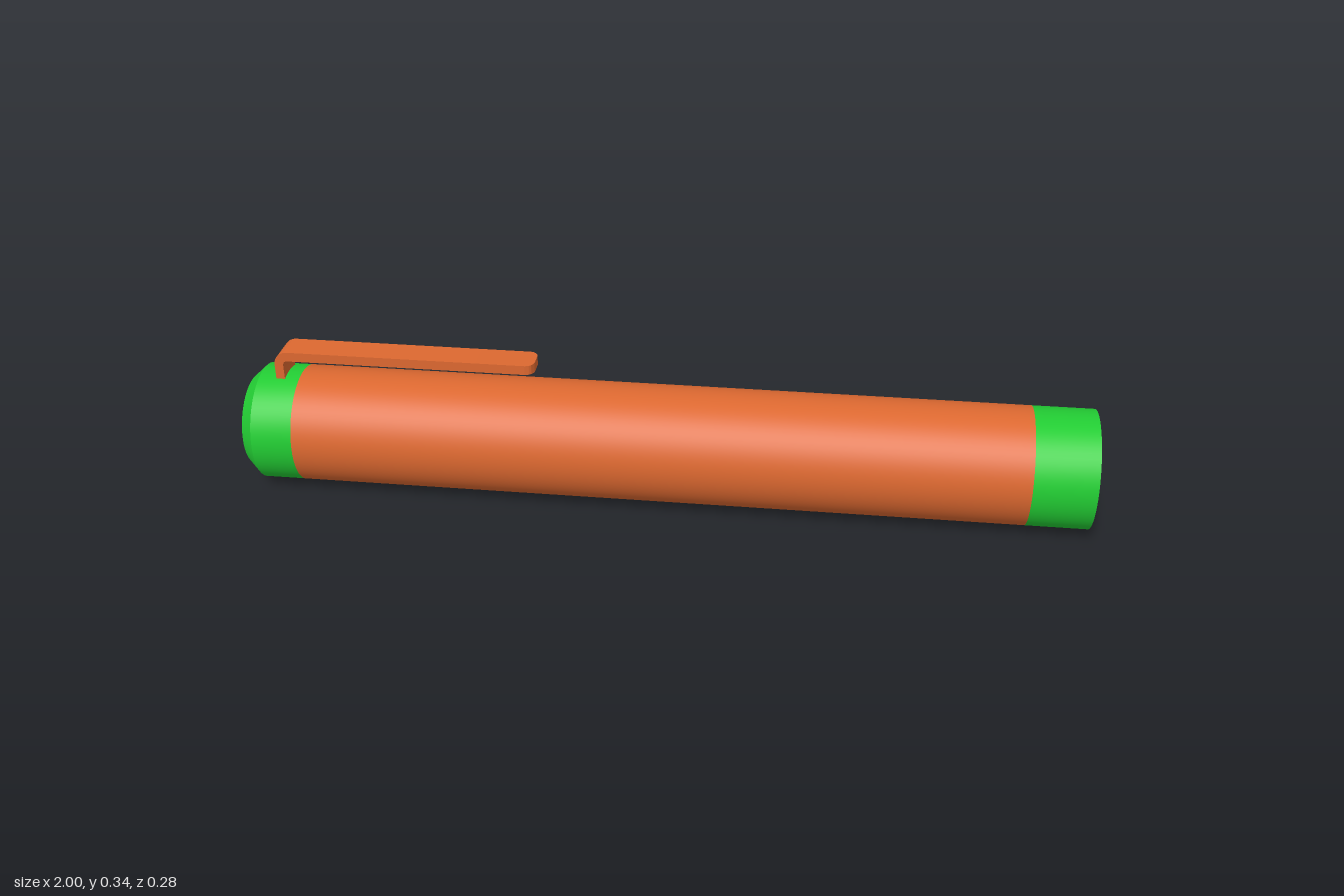
import * as THREE from 'three';
import { toCreasedNormals } from 'three/addons/utils/BufferGeometryUtils.js';

const R = 0.14; // barrel radius, also the height of its axis
const ORANGE = 0xdc6830, GREEN = 0x22cc33, RED = 0xf41010;

function part(name, geometry, color) {
  const mesh = new THREE.Mesh(geometry, new THREE.MeshStandardMaterial({ color }));
  mesh.name = name;
  return mesh;
}

// Profile of [x, radius] pairs turned around the long axis, from -x to +x
function turned(name, profile, color) {
  const points = profile.map(([x, r]) => new THREE.Vector2(r, x));
  const g = new THREE.LatheGeometry(points, 64).rotateZ(-Math.PI / 2).translate(0, R, 0);
  return part(name, toCreasedNormals(g, 0.6), color);
}

function pocketClip() {
  const clip = new THREE.Group();
  clip.name = 'pocketClip';
  const w = 0.076, top = 0.345, under = 0.322, back = -0.925, inner = -0.904, join = -0.33, tip = -0.3;

  // Bent strip: foot sunk in the cap, rounded elbow, straight arm
  const side = new THREE.Shape();
  side.moveTo(back, 0.26);
  side.lineTo(inner, 0.26);
  side.lineTo(inner, under - 0.012);
  side.quadraticCurveTo(inner, under, inner + 0.012, under);
  side.lineTo(join, under);
  side.lineTo(join, top);
  side.lineTo(back + 0.033, top);
  side.absarc(back + 0.033, top - 0.033, 0.033, Math.PI / 2, Math.PI, false);
  side.closePath();
  const strip = new THREE.ExtrudeGeometry(side, { depth: w, bevelEnabled: false, curveSegments: 10 });
  strip.translate(0, 0, -w / 2);
  clip.add(part('clipArm', toCreasedNormals(strip, 0.6), ORANGE));

  // Free end with rounded corners, drawn flat and laid down
  const r = 0.022, h = w / 2;
  const plan = new THREE.Shape();
  plan.moveTo(join, -h);
  plan.lineTo(tip - r, -h);
  plan.absarc(tip - r, -h + r, r, -Math.PI / 2, 0, false);
  plan.absarc(tip - r, h - r, r, 0, Math.PI / 2, false);
  plan.lineTo(join, h);
  plan.closePath();
  const end = new THREE.ExtrudeGeometry(plan, { depth: top - under, bevelEnabled: false, curveSegments: 8 });
  end.rotateX(-Math.PI / 2).translate(0, under, 0);
  clip.add(part('clipTip', toCreasedNormals(end, 0.6), ORANGE));
  return clip;
}

export function createModel() {
  const model = new THREE.Group();
  model.name = 'penlight';

  model.add(turned('barrel', [[-0.87, 0], [-0.87, R], [0.855, R], [0.855, 0]], ORANGE));

  // Tail cap with a chamfered end
  model.add(turned('tailCap', [[-1, 0], [-1, 0.11], [-0.968, R], [-0.87, R], [-0.87, 0]], GREEN));

  // Head with a lip and a conical reflector running in to a flat floor
  model.add(turned('reflectorHead',
    [[0.855, 0], [0.855, R], [1, R], [1, 0.125], [0.9, 0.052], [0.9, 0]], GREEN));

  // Round bulb seated on the reflector floor
  const bulb = part('bulb', new THREE.SphereGeometry(0.038, 32, 20), RED);
  bulb.position.set(0.935, R, 0);
  model.add(bulb);

  model.add(pocketClip());
  return model;
}
